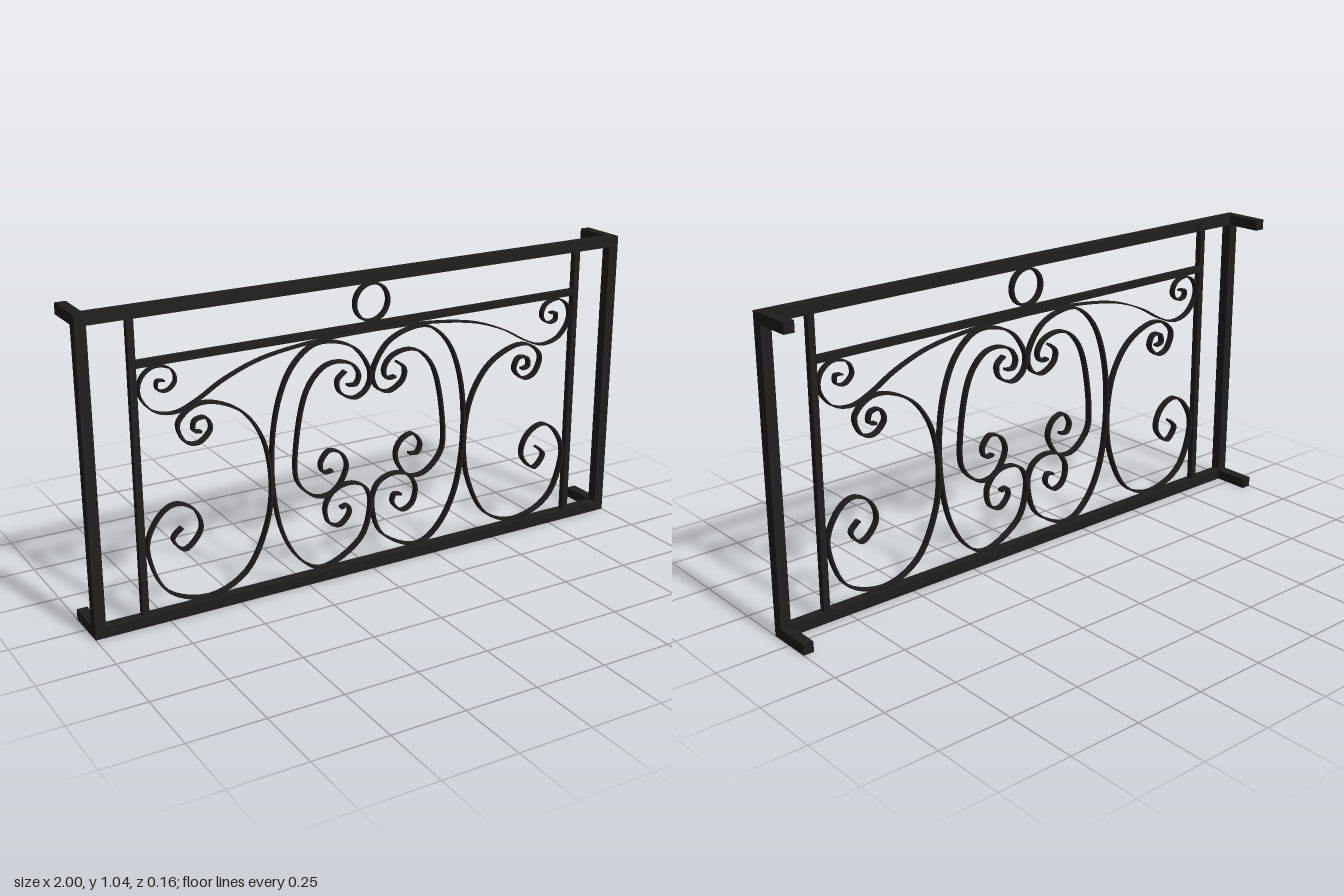
import * as THREE from 'three';

const iron = new THREE.MeshStandardMaterial({ color: 0x1e1e1e });
const Z = 0.063;      // mid-plane of the panel
const BAR = 0.036;    // outer frame bar
const THIN = 0.022;   // inner bars and scroll depth
const H = 1.04;

// Scroll centre lines for the +x half, as x, y pairs
const scrolls = {
  outerScroll: [0.008, [
    0.69, 0.305, 0.722, 0.27, 0.68, 0.227, 0.625, 0.285, 0.645, 0.355, 0.711, 0.388, 0.775, 0.345,
    0.807, 0.249, 0.749, 0.1, 0.604, 0.045, 0.47, 0.1, 0.396, 0.238, 0.374, 0.382, 0.396, 0.532,
    0.46, 0.639, 0.551, 0.693, 0.631, 0.698, 0.688, 0.65, 0.668, 0.588, 0.62, 0.575, 0.58, 0.612,
    0.594, 0.652, 0.631, 0.65, 0.638, 0.618, 0.612, 0.61]],
  heartScroll: [0.008, [
    0.118, 0.245, 0.091, 0.249, 0.086, 0.217, 0.123, 0.184, 0.166, 0.205, 0.176, 0.265, 0.139, 0.315,
    0.075, 0.326, 0.021, 0.297, 0.004, 0.227, 0.043, 0.115, 0.176, 0.045, 0.273, 0.094, 0.342, 0.222,
    0.37, 0.41, 0.358, 0.596, 0.31, 0.74, 0.23, 0.82, 0.144, 0.826, 0.059, 0.789, 0.007, 0.709,
    0.016, 0.65, 0.064, 0.623, 0.118, 0.65, 0.128, 0.693, 0.098, 0.72]],
  innerScroll: [0.008, [
    0.091, 0.671, 0.059, 0.67, 0.048, 0.703, 0.075, 0.741, 0.134, 0.757, 0.19, 0.74, 0.24, 0.68,
    0.27, 0.58, 0.287, 0.436, 0.273, 0.361, 0.209, 0.305, 0.139, 0.313, 0.096, 0.382, 0.112, 0.436,
    0.16, 0.457, 0.193, 0.42, 0.182, 0.385, 0.15, 0.386]],
  topScroll: [0.005, [
    0.727, 0.795, 0.75, 0.795, 0.749, 0.768, 0.717, 0.762, 0.69, 0.79, 0.706, 0.83, 0.76, 0.842,
    0.802, 0.81, 0.807, 0.757, 0.765, 0.703, 0.695, 0.687, 0.62, 0.714, 0.524, 0.767, 0.39, 0.813,
    0.203, 0.837, 0, 0.842]],
};

function addBox(parent, name, w, h, d, x, y, z) {
  const mesh = new THREE.Mesh(new THREE.BoxGeometry(w, h, d), iron);
  mesh.name = name;
  mesh.position.set(x, y, z);
  parent.add(mesh);
}

// Flat strip on edge, following a smooth curve in the panel plane
function stripGeometry(flat, thickness, side) {
  const pts = [];
  for (let i = 0; i < flat.length; i += 2) pts.push(new THREE.Vector2(flat[i] * side, flat[i + 1]));
  const curve = new THREE.SplineCurve(pts);
  const n = pts.length * 5;
  const a = [], b = [];
  for (let i = 0; i <= n; i++) {
    const p = curve.getPoint(i / n), t = curve.getTangent(i / n);
    const normal = new THREE.Vector2(-t.y, t.x).multiplyScalar(thickness / 2);
    a.push(p.clone().add(normal));
    b.push(p.clone().sub(normal));
  }
  const shape = new THREE.Shape([...a, ...b.reverse()]);
  return new THREE.ExtrudeGeometry(shape, { depth: THIN, bevelEnabled: false });
}

export function createModel() {
  const model = new THREE.Group();
  model.name = 'balconyRailing';

  // Outer frame with wall returns at the corners
  const frame = new THREE.Group();
  frame.name = 'frame';
  model.add(frame);
  for (const [name, y] of [['bottom', BAR / 2], ['top', H - BAR / 2]]) {
    addBox(frame, name + 'Rail', 2, BAR, BAR, 0, y, Z);
    for (const s of [-1, 1]) {
      addBox(frame, name + 'WallReturn', BAR, BAR, 0.126, s * (1 - BAR / 2), y, -0.018);
    }
  }
  for (const s of [-1, 1]) {
    addBox(frame, 'endPost', BAR, H - 2 * BAR, BAR, s * (1 - BAR / 2), H / 2, Z);
    addBox(frame, 'innerPost', THIN, H - 2 * BAR, THIN, s * 0.828, H / 2, Z);
  }
  addBox(frame, 'middleRail', 1.634, THIN, THIN, 0, 0.859, Z);

  // Ring between the middle and top rails
  const ringShape = new THREE.Shape().absarc(0, 0, 0.066, 0, Math.PI * 2, false);
  ringShape.holes.push(new THREE.Path().absarc(0, 0, 0.058, 0, Math.PI * 2, true));
  const ring = new THREE.Mesh(
    new THREE.ExtrudeGeometry(ringShape, { depth: THIN, bevelEnabled: false, curveSegments: 32 }), iron);
  ring.name = 'ring';
  ring.position.set(0, 0.937, Z - THIN / 2);
  model.add(ring);

  // Mirrored scrollwork
  for (const [side, label] of [[1, 'left'], [-1, 'right']]) {
    const half = new THREE.Group();
    half.name = label + 'Scrollwork';
    half.position.z = Z - THIN / 2;
    for (const [name, [thickness, flat]] of Object.entries(scrolls)) {
      const mesh = new THREE.Mesh(stripGeometry(flat, thickness, side), iron);
      mesh.name = name;
      half.add(mesh);
    }
    model.add(half);
  }
  return model;
}
